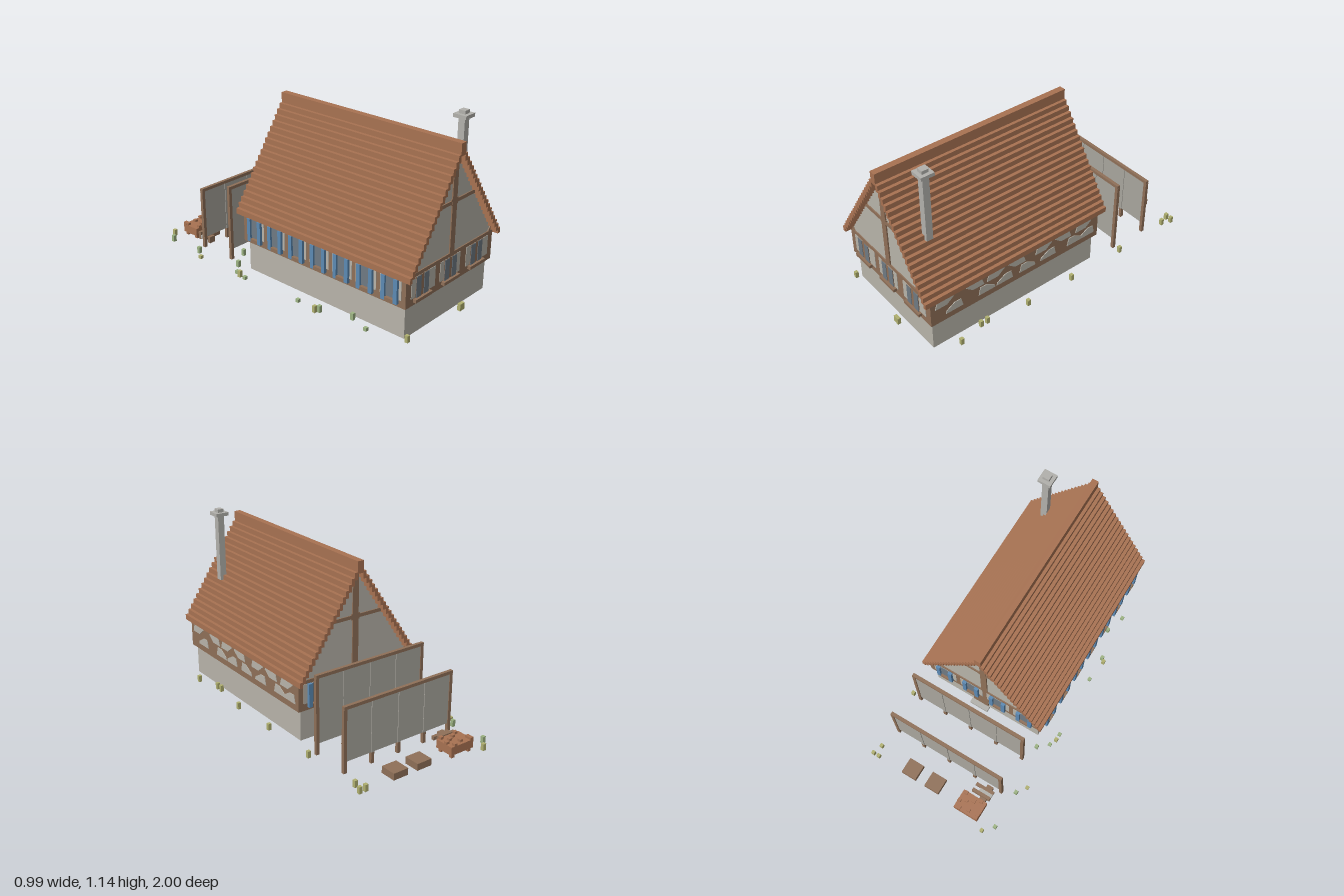
import * as THREE from 'three';

const mat = (name, color) => Object.assign(new THREE.MeshStandardMaterial({ color }), { name });

export function createModel() {
  const plaster = mat('plaster', 0xb8b4aa), timber = mat('timber', 0x8f7058), roofTile = mat('roofTile', 0xa87252);
  const shutterBlue = mat('shutterBlue', 0x5c8ab4), glass = mat('glass', 0x6f7a83), stone = mat('stone', 0xb2b1ac);
  const olive = mat('olive', 0xb0b070), sage = mat('sage', 0x9db383), panelGrey = mat('panelGrey', 0xa9a69e);
  const model = new THREE.Group();
  model.name = 'cottage';

  // box from min and max limits
  const box = (parent, name, m, x0, x1, y0, y1, z0, z1) => {
    const mesh = new THREE.Mesh(new THREE.BoxGeometry(x1 - x0, y1 - y0, z1 - z0), m);
    mesh.position.set((x0 + x1) / 2, (y0 + y1) / 2, (z0 + z1) / 2);
    mesh.name = name;
    parent.add(mesh);
    return mesh;
  };
  const group = (name, x = 0, y = 0, z = 0, ry = 0) => {
    const g = new THREE.Group();
    g.name = name;
    g.position.set(x, y, z);
    g.rotation.y = ry;
    model.add(g);
    return g;
  };
  const plate = (parent, name, m, pts, depth) => {
    const shape = new THREE.Shape(pts.map(p => new THREE.Vector2(...p)));
    const mesh = new THREE.Mesh(new THREE.ExtrudeGeometry(shape, { depth, bevelEnabled: false }), m);
    mesh.name = name;
    parent.add(mesh);
    return mesh;
  };

  // hollow ground floor, open underneath
  const base = group('groundFloor');
  box(base, 'wallRight', plaster, -0.365, -0.345, 0, 0.2, -0.27, 0.94);
  box(base, 'wallLeft', plaster, 0.385, 0.405, 0, 0.2, -0.27, 0.94);
  box(base, 'wallFront', plaster, -0.345, 0.385, 0, 0.2, 0.92, 0.94);
  box(base, 'wallBack', plaster, -0.345, 0.385, 0, 0.2, -0.27, -0.25);
  box(base, 'ceiling', plaster, -0.345, 0.385, 0.18, 0.2, -0.25, 0.92);
  box(base, 'door', timber, 0.01, 0.12, 0.02, 0.18, -0.277, -0.27);
  box(base, 'doorStep', stone, 0.0, 0.13, 0, 0.022, -0.31, -0.27);

  // overhanging timber storey
  box(model, 'upperStorey', timber, -0.39, 0.43, 0.2, 0.385, -0.29, 0.96);

  // front windows
  const front = group('frontWindows', 0, 0, 0.96);
  [[-0.345, -0.13, -0.25], [-0.085, 0.105, 0.01], [0.165, 0.385, 0.265]].forEach(([a, b, c]) => {
    box(front, 'plasterField', plaster, a, b, 0.245, 0.368, 0, 0.003);
    box(front, 'windowFrame', timber, c - 0.058, c + 0.058, 0.24, 0.37, 0.003, 0.005);
    for (const s of [-1, 1]) box(front, 'pane', glass, c + s * 0.034 - 0.021, c + s * 0.034 + 0.021, 0.24, 0.368, 0.005, 0.008);
    box(front, 'windowSill', timber, c - 0.075, c + 0.075, 0.22, 0.24, 0, 0.022);
  });

  // windows with open shutters along the right side and the back
  const shutterRow = (g, width, count) => {
    const pitch = width / count;
    for (let i = 0; i < count; i++) {
      const c = -width / 2 + pitch * (i + 0.5);
      box(g, 'plasterField', plaster, c - pitch * 0.42, c + pitch * 0.42, 0.245, 0.368, 0, 0.003);
      box(g, 'pane', glass, c - 0.03, c + 0.03, 0.245, 0.368, 0.003, 0.007);
      for (const s of [-1, 1]) box(g, 'shutter', shutterBlue, c + s * 0.043 - 0.013, c + s * 0.043 + 0.013, 0.22, 0.37, 0, 0.02);
      box(g, 'windowSill', timber, c - 0.03, c + 0.03, 0.22, 0.24, 0, 0.02);
    }
  };
  shutterRow(group('rightWindows', -0.39, 0, 0.335, -Math.PI / 2), 1.22, 7);
  shutterRow(group('backWindows', 0.02, 0, -0.29, Math.PI), 0.78, 4);

  // braced plaster fields on the left side
  const braced = group('leftBracing', 0.43, 0, 0, Math.PI / 2);
  const upper = [-0.86, -0.66, -0.5, -0.355, -0.14, 0, 0.175];
  const lower = [-0.8, -0.57, -0.44, -0.27, -0.11, 0.1, 0.2];
  upper.forEach((c, i) => {
    const s = i % 2 ? 0.03 : -0.03;
    plate(braced, 'upperField', plaster, [[c - 0.058, 0.35], [c - 0.04 + s, 0.312], [c + 0.04 + s, 0.312],
      [c + 0.058, 0.35], [c + 0.045, 0.37], [c - 0.045, 0.37]], 0.004);
  });
  lower.forEach((c, i) => {
    const s = i % 2 ? -0.025 : 0.025;
    plate(braced, 'lowerField', plaster, [[c - 0.06, 0.243], [c + 0.06, 0.243], [c + 0.055, 0.262],
      [c + 0.022 + s, 0.297], [c - 0.022 + s, 0.297], [c - 0.055, 0.262]], 0.004);
  });

  // gable prism
  plate(model, 'gableWalls', plaster, [[-0.39, 0.38], [0.43, 0.38], [0.43, 0.405], [0.02, 1.015], [-0.39, 0.405]], 1.24)
    .position.z = -0.285;

  // gable timbers, same on front and back
  for (const [z, ry] of [[0.955, 0], [-0.285, Math.PI]]) {
    const g = group('gableTimbers', 0.02, 0, z, ry);
    box(g, 'tieBeam', timber, -0.41, 0.41, 0.37, 0.392, 0, 0.007);
    box(g, 'kingPost', timber, -0.021, 0.021, 0.392, 0.99, 0, 0.008);
    box(g, 'collarBeam', timber, -0.21, 0.21, 0.692, 0.714, 0, 0.007);
    box(g, 'postJoint', timber, -0.03, 0.03, 0.684, 0.722, 0, 0.007);
    for (const s of [-1, 1]) {
      const corner = [[s * 0.41, 0.392], [s * 0.365, 0.392], [s * 0.385, 0.42], [s * 0.4, 0.42]];
      plate(g, 'cornerBrace', timber, corner, 0.006);
    }
  }

  // stepped roof and ridge
  const roof = group('roof');
  const step = 0.0216, rise = 0.0322;
  for (let i = 0; i < 19; i++) {
    for (const s of [-1, 1]) {
      const x = 0.02 + s * (0.43 - step * (i + 0.5)), top = 0.41 + rise * i;
      box(roof, 'roofStep', roofTile, x - step / 2, x + step / 2, top - (i ? 0.046 : 0.036), top, -0.335, 1);
    }
  }
  box(roof, 'ridge', roofTile, -0.001, 0.041, 0.98, 1.055, -0.335, 1);

  // chimney
  const chimney = group('chimney');
  box(chimney, 'chimneyShaft', stone, 0.234, 0.277, 0.645, 1.1, 0.81, 0.853);
  box(chimney, 'chimneyCap', stone, 0.212, 0.299, 1.1, 1.122, 0.788, 0.875);
  box(chimney, 'chimneyTop', stone, 0.234, 0.277, 1.122, 1.143, 0.81, 0.853);

  // two panel screens behind the house
  for (const [z, h] of [[-0.455, 0.5], [-0.712, 0.412]]) {
    const g = group('screen', 0, 0, z);
    box(g, 'panel', panelGrey, -0.345, 0.41, 0.07, h - 0.02, -0.006, 0.006);
    box(g, 'topRail', timber, -0.365, 0.43, h - 0.02, h, -0.0105, 0.0105);
    for (let i = 0; i < 5; i++) {
      const x = -0.355 + i * 0.194, end = i % 4 === 0;
      box(g, 'post', timber, x - 0.0105, x + 0.0105, 0, end ? h - 0.02 : 0.07, -0.0105, 0.0105);
      if (!end) box(g, 'panelDivider', panelGrey, x - 0.0105, x + 0.0105, 0.07, h - 0.02, -0.0105, 0.0105);
    }
  }

  // garden planters, hollow underneath
  for (const x of [-0.022, 0.15]) {
    const g = group('planter', x);
    box(g, 'planterTop', timber, 0, 0.103, 0.03, 0.043, -0.937, -0.834);
    for (const a of [0, 0.082]) {
      box(g, 'planterSide', timber, a, a + 0.021, 0, 0.03, -0.937, -0.834);
      box(g, 'planterEnd', timber, 0.021, 0.082, 0, 0.03, -0.937 + a, -0.916 + a);
    }
  }

  // clay oven block with studs
  const oven = group('clayBlock');
  box(oven, 'blockBody', roofTile, -0.325, -0.155, 0.022, 0.075, -0.958, -0.832);
  for (const x of [-0.315, -0.187]) for (const z of [-0.95, -0.862]) box(oven, 'blockFoot', roofTile, x, x + 0.022, 0, 0.022, z, z + 0.022);
  [[-0.325, -0.958], [-0.26, -0.94], [-0.2, -0.958], [-0.177, -0.915], [-0.218, -0.895], [-0.26, -0.875], [-0.325, -0.935], [-0.19, -0.854], [-0.3, -0.854]]
    .forEach(([x, z]) => box(oven, 'stud', roofTile, x, x + 0.022, 0.075, 0.09, z, z + 0.022));

  // small bench
  const bench = group('bench');
  box(bench, 'benchSeat', stone, -0.325, -0.235, 0.022, 0.045, -0.79, -0.765);
  for (const z of [-0.81, -0.765]) box(bench, 'benchRail', timber, -0.325, -0.197, 0.022, z < -0.8 ? 0.065 : 0.045, z, z + 0.021);
  for (const z of [-0.832, -0.744]) box(bench, 'benchFoot', timber, -0.305, -0.262, 0, 0.043, z, z + 0.022);

  // tufts of grass: x, z, height
  const tufts = [[-0.38, -0.988, 2], [-0.44, -0.925, 2], [-0.44, -0.67, 2], [-0.485, -0.605, 1], [-0.27, -0.435, 2],
    [-0.225, -0.39, 2], [-0.225, -0.368, 2], [-0.4, -0.345, 2], [-0.465, -0.285, 1], [-0.485, -0.24, 2], [-0.485, -0.195, 1],
    [-0.465, 0.235, 1], [-0.485, 0.385, 2], [-0.465, 0.405, 2], [-0.44, 0.73, 1], [-0.378, 0.972, 2], [-0.4, 0.6, 2],
    [0.095, 0.988, 2], [0.116, 0.988, 2], [0.48, -0.045, 2], [0.48, 0.3, 2], [0.48, 0.795, 2], [0.48, -0.455, 2],
    [0.44, -0.925, 2], [0.48, -0.925, 2], [0.46, -0.86, 2], [0.44, 0.625, 2], [0.44, 0.58, 2]];
  const grass = group('grass');
  tufts.forEach(([x, z, h], i) => box(grass, 'tuft', (x < 0 && i % 3) ? sage : olive,
    x - 0.0107, x + 0.0107, 0, h * 0.0215, z - 0.0107, z + 0.0107));

  return model;
}
